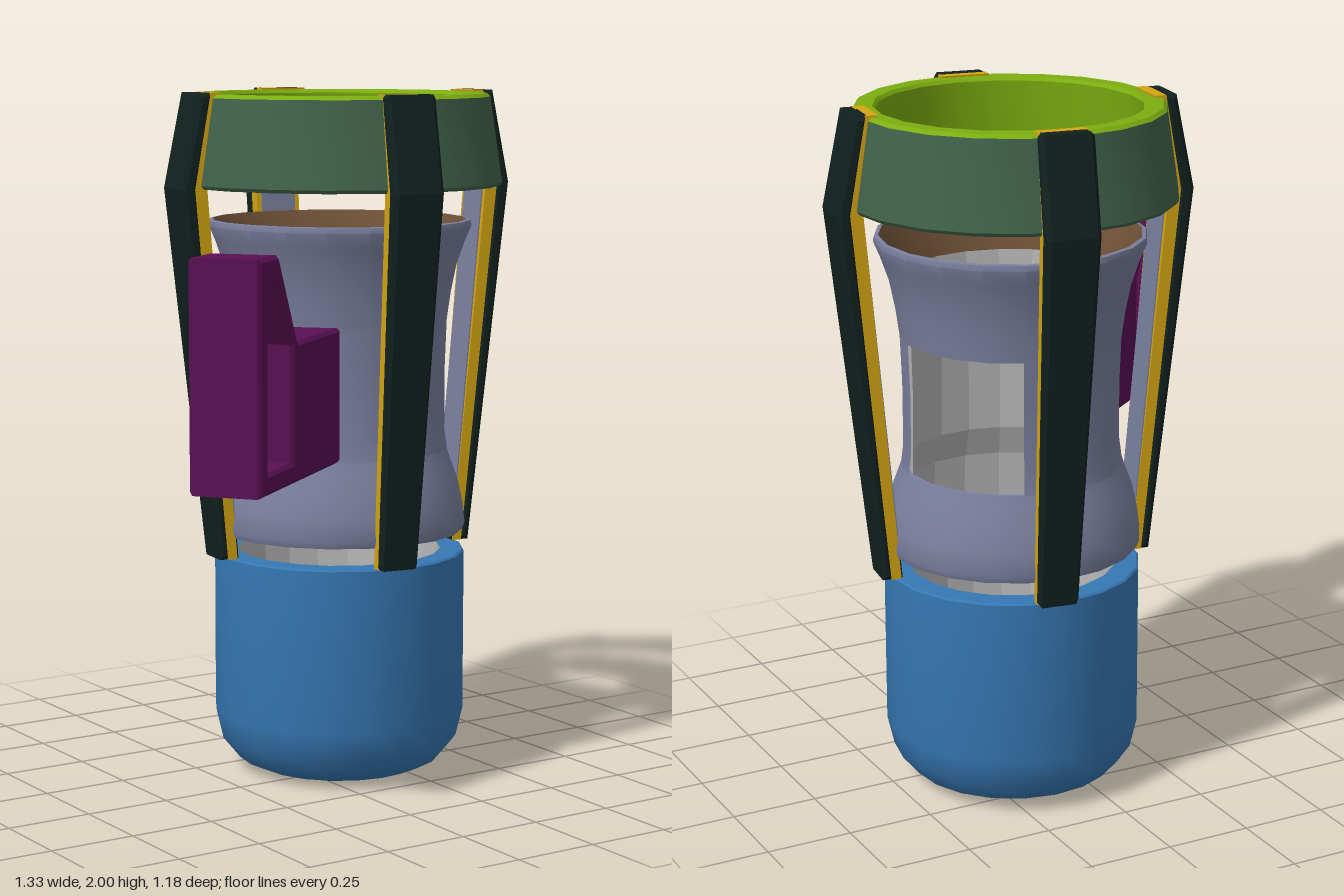
import * as THREE from 'three';
import { toCreasedNormals } from 'three/addons/utils/BufferGeometryUtils.js';

const SIDES = 20;
const STEP = (Math.PI * 2) / SIDES;
const START = THREE.MathUtils.degToRad(159); // far edge of the sleeve window
const WINDOW_SIDES = 4;

function material(color, options = {}) {
  return new THREE.MeshStandardMaterial({ color, ...options });
}

const sleeveMat = material(0x7a7f9e, { side: THREE.DoubleSide });
const liningMat = material(0xb4b4b4, { side: THREE.DoubleSide, flatShading: true });
const blueMat = material(0x3678b4);
const darkMat = material(0x11211f);
const yellowMat = material(0xd4a512);
const limeMat = material(0x7cae10);
const greenMat = material(0x41634b);
const brownMat = material(0x6e5036);
const handleMat = material(0x5a1054);
const blackMat = material(0x0c0c0c);

export function createModel() {
  const model = new THREE.Group();
  model.name = 'canister';
  const body = new THREE.Group();
  body.name = 'body';
  body.position.set(0.14, 0, -0.07);
  model.add(body);

  function add(name, geometry, mat, parent = body) {
    const mesh = new THREE.Mesh(geometry, mat);
    mesh.name = name;
    parent.add(mesh);
    return mesh;
  }

  // Turned part; profile is [radius, y], rising for outer walls and falling for inner walls
  function turned(name, profile, mat, sides = SIDES) {
    const points = profile.map(([r, y]) => new THREE.Vector2(r, y));
    const geometry = new THREE.LatheGeometry(points, sides, START, sides * STEP);
    return add(name, toCreasedNormals(geometry, 0.6), mat);
  }

  // Base cup
  turned('baseCup', [
    [0.18, 0], [0.25, 0.012], [0.3, 0.035], [0.35, 0.095], [0.37, 0.18],
    [0.37, 0.655], [0.365, 0.66], [0.3, 0.66],
  ], blueMat);
  turned('cupInnerWall', [[0.3, 0.66], [0.25, 0.1]], liningMat);
  turned('cupFloor', [[0.25, 0.1], [0.18, 0.08]], blueMat);
  const plug = add('basePlug', new THREE.CylinderGeometry(0.182, 0.182, 0.08, SIDES), blackMat);
  plug.position.y = 0.041;

  // Waisted sleeve with a window opposite the handle
  turned('sleeveLower', [
    [0.345, 0.72], [0.364, 0.72], [0.372, 0.74], [0.365, 0.8], [0.35, 0.87], [0.326, 0.935],
    [0.318, 0.96], [0.305, 0.96],
  ], sleeveMat);
  turned('sleeveMiddle', [[0.318, 0.96], [0.31, 1.02], [0.31, 1.2], [0.315, 1.34]],
    sleeveMat, SIDES - WINDOW_SIDES);
  turned('sleeveUpper', [
    [0.305, 1.34], [0.315, 1.34], [0.326, 1.42], [0.342, 1.5], [0.366, 1.57],
    [0.385, 1.615], [0.382, 1.63], [0.37, 1.632],
  ], sleeveMat);
  turned('sleeveRim', [[0.372, 1.632], [0.355, 1.6], [0.318, 1.5]], brownMat);
  turned('liningUpper', [[0.318, 1.5], [0.305, 1.34]], liningMat);
  turned('liningMiddle', [[0.305, 1.34], [0.302, 1.2], [0.305, 0.96]],
    liningMat, SIDES - WINDOW_SIDES);
  turned('liningLower', [[0.305, 0.96], [0.335, 0.87], [0.345, 0.72]], liningMat);

  // Top ring
  turned('ringBand', [[0.4, 1.73], [0.465, 1.73], [0.472, 1.74], [0.436, 1.985]], greenMat);
  turned('ringLining', [
    [0.436, 1.985], [0.426, 1.995], [0.38, 1.995], [0.372, 1.985], [0.4, 1.73],
  ], limeMat);

  // Bent bar: spans two radii at foot, bend and top, narrowing towards the foot
  function bar(inner, outer, width, bevel) {
    const ys = [0.66, 1.73, 2.0];
    const outline = [
      ...ys.map((y, i) => new THREE.Vector2(outer[i], y)),
      ...ys.map((y, i) => new THREE.Vector2(inner[i], y)).reverse(),
    ];
    const geometry = new THREE.ExtrudeGeometry(new THREE.Shape(outline), {
      depth: width - bevel * 2,
      bevelEnabled: bevel > 0,
      bevelSize: bevel,
      bevelThickness: bevel,
      bevelOffset: -bevel,
      bevelSegments: 1,
    });
    geometry.translate(0, 0, bevel - width / 2);
    const p = geometry.attributes.position;
    for (let i = 0; i < p.count; i++) {
      const t = Math.min(1, (p.getY(i) - 0.66) / 1.07);
      p.setZ(i, p.getZ(i) * (0.77 + 0.23 * t));
    }
    geometry.computeVertexNormals();
    return geometry;
  }

  // Thin plate on the inner face of a strut, between two heights
  function plate(y0, y1, width) {
    const radius = (y) => 0.349 + ((y - 0.66) / 1.07) * 0.095;
    const shape = new THREE.Shape([
      new THREE.Vector2(radius(y0) - 0.003, y0), new THREE.Vector2(radius(y0) + 0.004, y0),
      new THREE.Vector2(radius(y1) + 0.004, y1), new THREE.Vector2(radius(y1) - 0.003, y1),
    ]);
    return new THREE.ExtrudeGeometry(shape, { depth: width, bevelEnabled: false })
      .translate(0, 0, -width / 2);
  }

  // Four struts
  const outerBar = bar([0.374, 0.476, 0.428], [0.404, 0.522, 0.466], 0.154, 0.012);
  const innerBar = bar([0.35, 0.445, 0.398], [0.38, 0.482, 0.434], 0.142, 0);
  const upperPlate = plate(0.76, 1.74, 0.11);
  const footPlate = plate(0.662, 0.76, 0.106);
  for (let i = 0; i < 4; i++) {
    const strut = new THREE.Group();
    strut.name = `strut${i + 1}`;
    strut.rotation.y = -0.149 + (i * Math.PI) / 2;
    body.add(strut);
    add('strutOuterBar', outerBar, darkMat, strut);
    add('strutInnerBar', innerBar, yellowMat, strut);
    add('strutBackPlate', upperPlate, sleeveMat, strut);
    add('strutFootPlate', footPlate, darkMat, strut);
  }

  // Side handle with a grip opening
  const toPoints = (list) => list.map(([x, y]) => new THREE.Vector2(x, y));
  const handleShape = new THREE.Shape(toPoints([
    [0.29, 0.96], [0.945, 0.96], [0.945, 1.59], [0.8, 1.59], [0.65, 1.345], [0.29, 1.345],
  ]));
  handleShape.holes.push(new THREE.Path(toPoints([
    [0.69, 1.02], [0.69, 1.34], [0.81, 1.52], [0.885, 1.52], [0.885, 1.02],
  ])));
  const handleGeometry = new THREE.ExtrudeGeometry(handleShape, {
    depth: 0.184,
    bevelSize: 0.01,
    bevelThickness: 0.01,
    bevelOffset: -0.01,
    bevelSegments: 1,
  });
  handleGeometry.translate(0, 0, -0.092);
  const handle = add('handle', handleGeometry, handleMat);
  handle.rotation.y = Math.PI + 0.657;

  return model;
}
